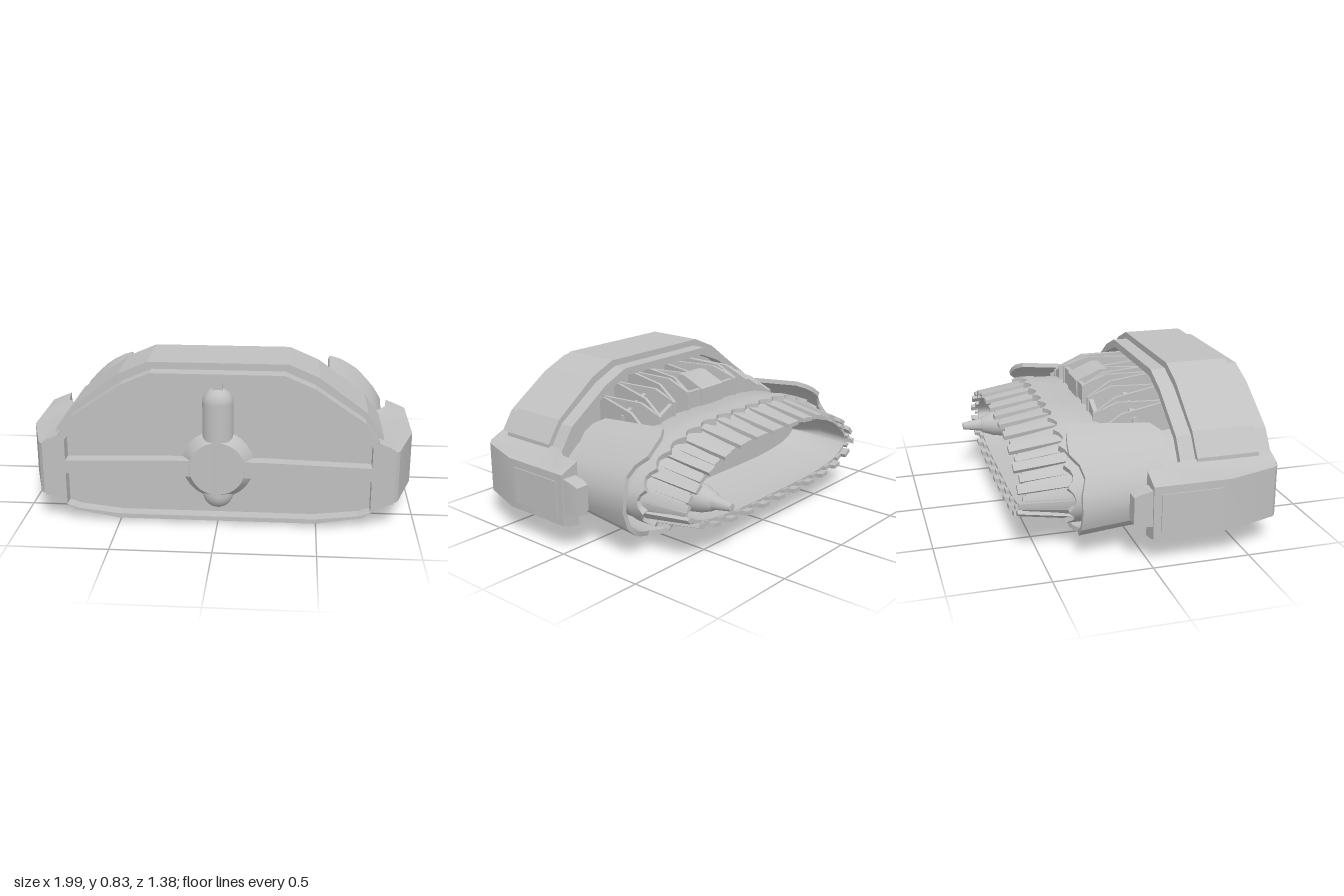
import * as THREE from 'three';
import { toCreasedNormals } from 'three/addons/utils/BufferGeometryUtils.js';

const V = (x, y, z) => new THREE.Vector3(x, y, z);
const lerp = THREE.MathUtils.lerp;

export function createModel() {
  const model = new THREE.Group();
  const grey = new THREE.MeshStandardMaterial({ color: 0xc0c0c0, side: THREE.DoubleSide });
  grey.name = 'hull grey';

  function add(name, geometry) {
    const mesh = new THREE.Mesh(geometry, grey);
    mesh.name = name;
    model.add(mesh);
    return mesh;
  }

  // Skins equal-length loops of points; loops run clockwise along the travel
  function sweep(sections, wrap = false) {
    const n = sections[0].length, m = sections.length, index = [];
    for (let i = 0; i < (wrap ? m : m - 1); i++) {
      const k = (i + 1) % m;
      for (let j = 0; j < n; j++) {
        const a = i * n + j, b = i * n + (j + 1) % n, c = k * n + (j + 1) % n, d = k * n + j;
        index.push(a, b, c, a, c, d);
      }
    }
    if (!wrap) {
      const e = (m - 1) * n;
      for (let j = 1; j < n - 1; j++) index.push(0, j + 1, j, e, e + j, e + j + 1);
    }
    const g = new THREE.BufferGeometry().setFromPoints(sections.flat());
    g.setIndex(index);
    return toCreasedNormals(g, 0.45);
  }

  function addPair(name, sections) {
    add(name + 'Left', sweep(sections));
    add(name + 'Right', sweep(sections.map(s => s.map(p => V(-p.x, p.y, p.z)).reverse())));
  }

  // Mirrored outline from its right half, extruded between two depths
  const outline = half => [...half, ...half.map(([x, y]) => [-x, y]).reverse()]
    .map(([x, y]) => new THREE.Vector2(x, y));
  function plate(name, half, z0, z1, holes = []) {
    const shape = new THREE.Shape(outline(half));
    holes.forEach(h => shape.holes.push(new THREE.Path(outline(h))));
    const g = new THREE.ExtrudeGeometry(shape, { depth: z1 - z0, bevelEnabled: false });
    g.translate(0, 0, z0);
    return add(name, g);
  }

  // Front housing: solid middle, framed face, raised band, hollow rear lip
  const housing = [[0.33, 0.80], [0.48, 0.735], [0.73, 0.565], [0.80, 0.46], [0.88, 0.43],
    [0.88, 0.14], [0.82, 0.125], [0.73, 0.06], [0.5, 0.022]];
  const band = [[0.35, 0.835], [0.50, 0.77], [0.745, 0.59], [0.825, 0.475],
    [0.83, 0.11], [0.74, 0.04], [0.5, 0.003]];
  const upperWindow = [[0.33, 0.757], [0.46, 0.70], [0.69, 0.545], [0.77, 0.44], [0.77, 0.33], [0.25, 0.345]];
  const lowerWindow = [[0.77, 0.26], [0.77, 0.09], [0.71, 0.07], [0.49, 0.045]];
  const rearOpening = [[0.31, 0.76], [0.46, 0.70], [0.70, 0.54], [0.77, 0.43], [0.83, 0.40],
    [0.83, 0.17], [0.79, 0.15], [0.71, 0.09], [0.49, 0.05]];
  plate('housing', housing, 0.28, 0.62);
  plate('faceFrame', housing, 0.62, 0.685, [upperWindow, lowerWindow]);
  plate('raisedBand', band, 0.28, 0.61);
  plate('rearLip', housing, 0.2, 0.28, [rearOpening]);

  // Face hub with a vertical capsule
  const hub = add('hub', new THREE.CylinderGeometry(0.14, 0.185, 0.07, 28));
  hub.rotation.x = Math.PI / 2;
  hub.position.set(0, 0.305, 0.652);
  const capsule = add('capsule', new THREE.CapsuleGeometry(0.078, 0.484, 8, 20));
  capsule.scale.z = 0.88;
  capsule.position.set(0, 0.395, 0.62);
  const stem = add('capsuleStem', new THREE.BoxGeometry(0.05, 0.08, 0.03));
  stem.position.set(0, 0.725, 0.63);

  // Side pods, with chamfered front corners and a tail block
  const podSection = (z, inner, outer) => [V(inner, 0.465, z), V(inner + 0.06, 0.44, z), V(outer, 0.42, z),
    V(outer, 0.15, z), V(inner + 0.06, 0.135, z), V(inner, 0.125, z)];
  addPair('sidePod', [[0.685, 0.8, 0.885], [0.665, 0.8, 0.905], [0.4, 0.8, 0.99], [0.2, 0.81, 0.99],
    [0.12, 0.87, 0.99], [0, 0.885, 0.99]].map(s => podSection(...s)));
  const block = (z, x0, x1, y0, y1) => [V(x0, y1, z), V(x1, y1, z), V(x1, y0, z), V(x0, y0, z)];
  addPair('podTail', [block(0.01, 0.9, 0.98, 0.21, 0.40), block(-0.06, 0.9, 0.98, 0.22, 0.385),
    block(-0.093, 0.905, 0.975, 0.235, 0.37)]);
  addPair('podSidePanel', [block(0.36, 0.985, 0.996, 0.19, 0.38), block(0.04, 0.985, 0.996, 0.19, 0.38)]);

  // Engine cross-section, clockwise from the top centre
  const half = [[0.3, 0.60], [0.5, 0.56], [0.68, 0.47], [0.795, 0.34], [0.79, 0.24], [0.66, 0.14], [0.45, 0.097]];
  const curve = new THREE.CatmullRomCurve3([[0, 0.605], ...half, [0, 0.085],
    ...half.map(([x, y]) => [-x, y]).reverse()].map(([x, y]) => V(x, y, 0)), true);
  curve.arcLengthDivisions = 600;
  const at = (u, off, z) => {
    const w = ((u % 1) + 1) % 1, p = curve.getPointAt(w), t = curve.getTangentAt(w);
    return V(p.x - t.y * off, p.y + t.x * off, z);
  };
  const ring = (off, z, n = 96) => Array.from({ length: n }, (_, i) => at(i / n, off, z));
  // Slab section across the engine skin: outer front, inner front, inner rear, outer rear
  const slab = (u, zf, zr, of, or, thick) =>
    [at(u, of, zf), at(u, of - thick, zf), at(u, or - thick, zr), at(u, or, zr)];

  // Engine body, running back and folding into the hollow nozzle
  add('engineBody', sweep([[-0.07, 0.29], [-0.06, 0.0], [-0.005, -0.13], [0.0, -0.30], [-0.03, -0.35],
    [-0.075, -0.56], [-0.09, -0.56], [-0.085, -0.38], [-0.13, -0.22]].map(([o, z]) => ring(o, z))));

  // Scalloped collar around the nozzle root
  const teeth = 30, steps = teeth * 4;
  add('collar', sweep(Array.from({ length: steps }, (_, i) => {
    const wave = Math.abs(Math.sin(i / steps * teeth * Math.PI));
    return slab(i / steps, -0.27, -0.365 + 0.035 * wave, 0.006, 0.006, 0.04);
  }), true));

  // Nozzle petals, alternately long and short
  const petals = 52;
  for (let i = 0; i < petals; i++) {
    const long = i % 2 === 0, w = (long ? 0.42 : 0.36) / petals, o = long ? 0 : -0.012;
    const zr = long ? -0.6 : -0.578;
    add('nozzlePetal', sweep([-1, 0, 1].map(k =>
      slab((i + 0.5) / petals + k * w, -0.32, zr, -0.012 + o, -0.056 + o, 0.022))));
  }

  // Flared side fenders with ragged ends
  const rear = [-0.30, -0.335, -0.345, -0.35, -0.31, -0.295, -0.32, -0.32, -0.32, -0.32, -0.295, -0.28, -0.30, -0.31, -0.29];
  const front = [0.12, 0.16, 0.165, 0.15, 0.11, 0.13, 0.15, 0.15, 0.15, 0.15, 0.13, 0.11, 0.15, 0.155, 0.12];
  addPair('fender', rear.map((zr, i) => {
    const s = i / (rear.length - 1), low = s > 0.6 ? lerp(1, 0.35, (s - 0.6) / 0.4) : 1;
    return slab(lerp(0.152, 0.365, s), front[i], zr, 0.05 * low, 0.092 * low, 0.025);
  }));

  // Truss fins between housing and engine, above and below
  const roof = x => 0.755 - Math.max(0, Math.abs(x) - 0.25) * 0.5;
  const floor = x => 0.52 - Math.max(0, Math.abs(x) - 0.25) * 0.4;
  const fin = (x0, x1, w, top) => [[0.28, 0], [-0.01, 0.69], [-0.14, 1]].map(([z, t]) => {
    const x = lerp(x0, x1, t), drop = t === 1 ? 0.055 : 0;
    return top ? block(z, x - w, x + w, floor(x), roof(x) - drop) : block(z, x - w, x + w, 0.057, 0.17);
  });
  const nodes = [0.1, 0.2, 0.22, 0.31, 0.33, 0.42, 0.44, 0.53];
  for (const top of [true, false]) {
    const side = top ? 'upper' : 'lower';
    for (let i = 0; i < nodes.length - 1; i++) {
      const a = nodes[i], b = nodes[i + 1];
      addPair(side + 'TrussFin', i % 2 ? fin(b, a, 0.009, top) : fin(a, b, 0.009, top));
    }
    // Cross rails joining the fins
    for (const [x0, x1, z] of [[0.09, 0.2, -0.12], [0.31, 0.42, -0.12], [0.12, 0.5, 0.06]]) {
      const rail = x => {
        const y = top ? roof(x) - (z < 0 ? 0.06 : 0.03) : 0.09, d = 0.012, h = z < 0 ? 0.09 : 0.03;
        const lo = top ? y - h : 0.06;
        return [V(x, y, z + d), V(x, lo, z + d), V(x, lo, z - d), V(x, y, z - d)];
      };
      addPair(side + 'TrussRail', [rail(x0), rail((x0 + x1) / 2), rail(x1)]);
    }
    // Centre block and its A-shaped brace
    add(side + 'TrussBlock', sweep(top
      ? [block(0.03, -0.09, 0.09, 0.55, 0.75), block(-0.01, -0.09, 0.09, 0.55, 0.75), block(-0.14, -0.09, 0.09, 0.55, 0.695)]
      : [block(0.0, -0.09, 0.09, 0.06, 0.17), block(-0.14, -0.09, 0.09, 0.06, 0.12)]));
    addPair(side + 'CentreBrace', top
      ? [block(0.28, 0.07, 0.09, 0.52, 0.74), block(0.02, 0.0, 0.02, 0.52, 0.74)]
      : [block(0.28, 0.07, 0.09, 0.06, 0.17), block(0.0, 0.0, 0.02, 0.06, 0.17)]);
  }

  // Exhaust spike on the left side of the nozzle
  const spike = add('exhaustSpike', toCreasedNormals(new THREE.LatheGeometry(
    [[0.1, 0], [0.1, 0.14], [0.088, 0.15], [0.085, 0.2], [0.07, 0.29], [0.048, 0.35], [0.038, 0.36], [0.02, 0.465], [0, 0.468]]
      .map(([r, y]) => new THREE.Vector2(r, y)), 24), 0.5));
  spike.rotation.x = -Math.PI / 2;
  spike.position.set(0.51, 0.285, -0.22);

  return model;
}
